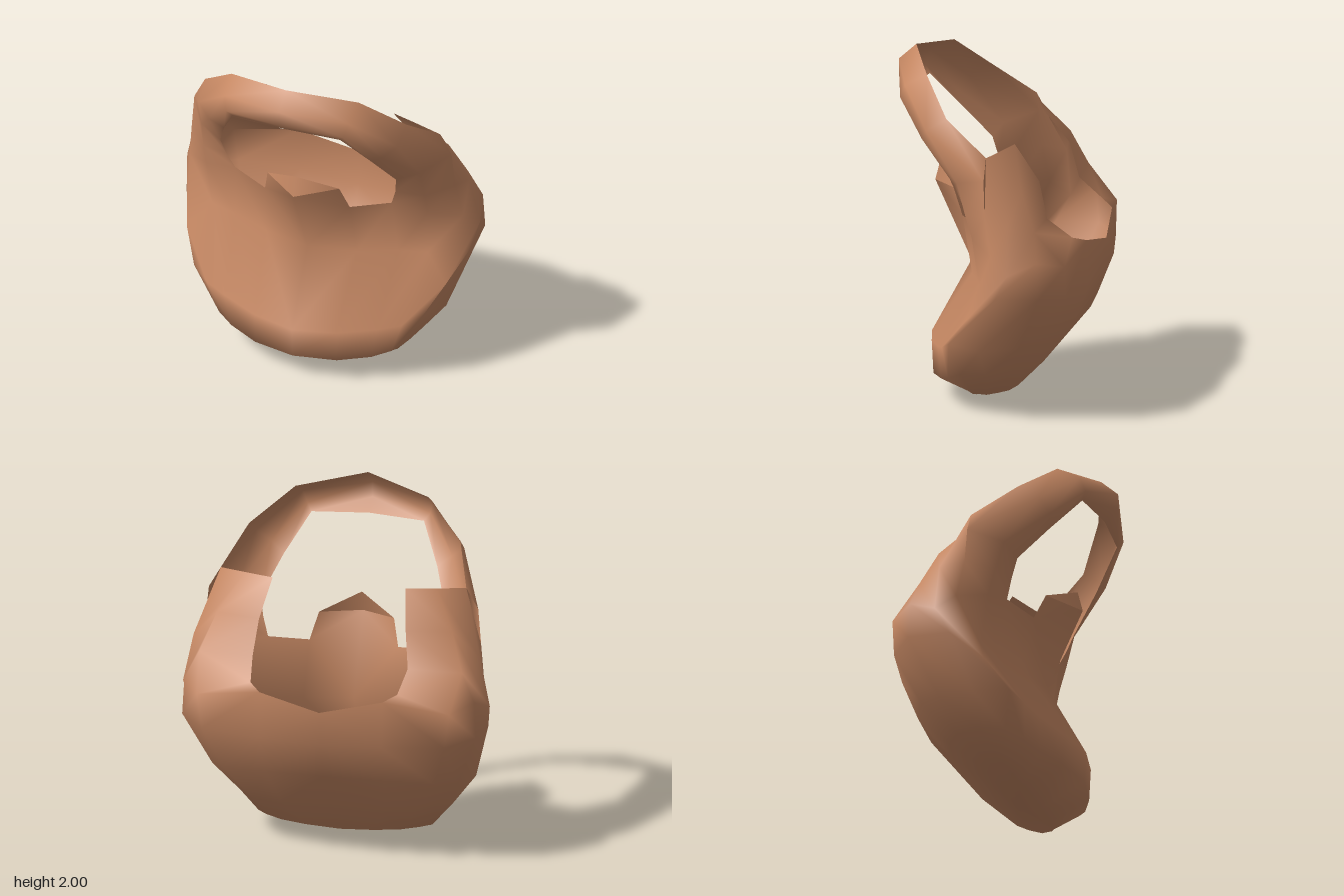
import * as THREE from 'three';
import { mergeVertices } from 'three/addons/utils/BufferGeometryUtils.js';

// Collects faces for the +x half and mirrors each one to -x.
class HalfShell {
  constructor() { this.pos = []; }
  tri(a, b, c) {
    const m = ([x, y, z]) => [-x, y, z];
    this.pos.push(...a, ...b, ...c, ...m(a), ...m(c), ...m(b));
  }
  // Skin a series of cross-sections.
  loft(rows) {
    for (let r = 0; r < rows.length - 1; r++) {
      const lo = rows[r], hi = rows[r + 1];
      for (let c = 0; c < Math.min(lo.length, hi.length) - 1; c++) {
        this.tri(lo[c], lo[c + 1], hi[c + 1]);
        this.tri(lo[c], hi[c + 1], hi[c]);
      }
    }
  }
  mesh(name, material) {
    let g = new THREE.BufferGeometry();
    g.setAttribute('position', new THREE.Float32BufferAttribute(this.pos, 3));
    g = mergeVertices(g, 1e-4);
    g.computeVertexNormals();
    const mesh = new THREE.Mesh(g, material);
    mesh.name = name;
    return mesh;
  }
}

export function createModel() {
  const clay = new THREE.MeshStandardMaterial({ color: 0xc68863, side: THREE.DoubleSide });
  clay.name = 'terracotta';

  // Bowl sections, front centre round the side to back centre
  const base = [[0, 0, .13], [.26, .03, .1], [.36, .06, .09], [.44, .08, .08], [.5, .1, .05],
    [.51, .1, -.01], [.45, .1, -.07], [.35, .09, -.11], [.2, .08, -.13], [0, .07, -.13]];
  const chin = [[0, .14, .4], [.25, .14, .35], [.43, .16, .27], [.53, .19, .21], [.61, .24, .12],
    [.64, .25, -.03], [.57, .27, -.18], [.48, .26, -.26], [.3, .26, -.3], [0, .26, -.3]];
  const jaw = [[0, .32, .41], [.25, .33, .36], [.47, .36, .28], [.6, .39, .23], [.7, .44, .17],
    [.77, .42, -.02], [.72, .44, -.24], [.62, .47, -.38], [.35, .5, -.48], [0, .51, -.51]];
  const waist = [[0, .75, .18], [.28, .75, .12], [.5, .76, .04], [.66, .76, -.01], [.795, .61, .05],
    [.87, .76, -.13], [.86, .77, -.38], [.71, .74, -.51], [.36, .73, -.57], [0, .72, -.57]];
  const rim = [[0, 1.21, .39], [.26, 1.08, .18], [.48, 1.11, .09], [.68, 1.06, .04], [.84, 1, -.1],
    [.9, .91, -.21], [.85, .98, -.37], [.74, .94, -.51], [.36, 1, -.56], [0, .92, -.6]];

  // Cheek sections, front opening round the side to the rear flap edge
  const cheekLow = [...rim.slice(2, 6), [.77, 1.14, -.34], [.455, 1.14, -.35]];
  const cheekMid = [[.52, 1.22, .13], [.68, 1.2, .08], [.81, 1.22, -.06],
    [.84, 1.19, -.2], [.69, 1.35, -.25], [.43, 1.35, -.3]];
  const cheekTop = [[.54, 1.33, .17], [.67, 1.38, .13], [.79, 1.43, -.05],
    [.72, 1.55, -.05], [.56, 1.55, -.1], [.39, 1.55, -.15]];

  // Arch sections, inner edge over the front to the rear edge
  const archSide = [[.45, 1.53, .33], [.53, 1.59, .36], [.61, 1.66, .32], [.62, 1.74, .2]];
  const archCorner = [[.33, 1.74, .49], [.36, 1.78, .52], [.38, 1.86, .49], [.39, 1.93, .36]];
  const archCentre = [[0, 1.75, .52], [0, 1.82, .6], [0, 1.91, .6], [0, 2, .5]];

  // Hood: bowl, cheeks and arch as one smooth open shell
  const hood = new HalfShell();
  hood.loft([base, chin, jaw, waist, rim]);
  hood.loft([cheekLow, cheekMid, cheekTop]);
  hood.loft([cheekTop.slice(0, 4), archSide, archCorner, archCentre]);

  // Underside
  for (let i = 0; i < base.length - 1; i++) hood.tri([0, .035, 0], base[i + 1], base[i]);

  // Web between the rear rim and the flap
  const side = rim[5], sideBack = rim[6], back = rim[7], backEdge = rim[8];
  const flap = cheekLow[4], flapEdge = cheekLow[5], notch = [.43, 1.03, -.49];
  hood.tri(side, sideBack, flap);
  hood.tri(sideBack, back, flap);
  hood.tri(back, notch, flap);
  hood.tri(notch, flapEdge, flap);
  hood.tri(back, backEdge, notch);

  // Raised peak at the middle of the front opening, with a creased top
  const shoulder = [.22, 1.23, .24];
  hood.tri(rim[0], rim[1], shoulder);
  const peak = new HalfShell();
  peak.tri(rim[0], shoulder, [0, 1.33, .36]);

  const group = new THREE.Group();
  group.name = 'hood';
  group.add(hood.mesh('hoodShell', clay), peak.mesh('peakTop', clay));
  return group;
}
